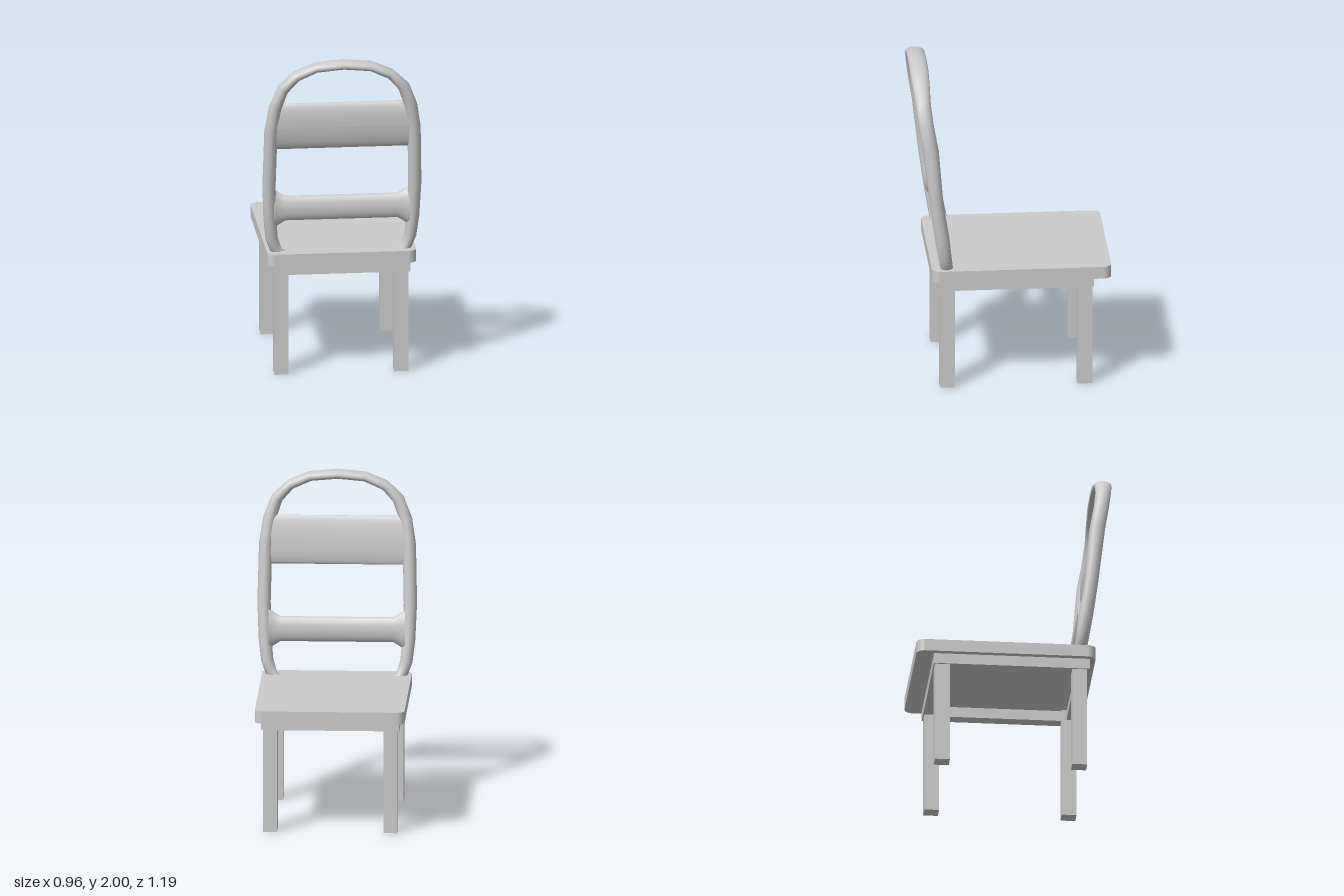
import * as THREE from 'three';

const material = new THREE.MeshStandardMaterial({ color: 0xcccccc });

function add(group, name, geometry, x = 0, y = 0, z = 0) {
  const mesh = new THREE.Mesh(geometry, material);
  mesh.name = name;
  mesh.position.set(x, y, z);
  group.add(mesh);
  return mesh;
}

// Horizontal slab seen from above, spanning z0..z1, extruded upwards
function slab(halfWidth, z0, z1, height, radius, border = 0) {
  const outline = (Type, w, a, b, r) => {
    const s = new Type();
    s.moveTo(-w + r, a);
    s.lineTo(w - r, a);
    if (r) s.absarc(w - r, a + r, r, -Math.PI / 2, 0);
    s.lineTo(w, b - r);
    if (r) s.absarc(w - r, b - r, r, 0, Math.PI / 2);
    s.lineTo(-w + r, b);
    if (r) s.absarc(-w + r, b - r, r, Math.PI / 2, Math.PI);
    s.lineTo(-w, a + r);
    if (r) s.absarc(-w + r, a + r, r, Math.PI, Math.PI * 1.5);
    return s;
  };
  const shape = outline(THREE.Shape, halfWidth, -z1, -z0, radius);
  if (border) {
    shape.holes.push(outline(THREE.Path, halfWidth - border, -z1 + border, -z0 - border, 0));
  }
  return new THREE.ExtrudeGeometry(shape, { depth: height, bevelEnabled: false, curveSegments: 6 })
    .rotateX(-Math.PI / 2);
}

// Closed hoop of oval sections: x, y, z, in-plane radius, depth radius
function hoopGeometry() {
  const half = [
    [0, 1.972, 0.537, 0.028, 0.057],
    [0.165, 1.957, 0.537, 0.028, 0.056],
    [0.285, 1.905, 0.535, 0.031, 0.052],
    [0.365, 1.823, 0.53, 0.036, 0.047],
    [0.41, 1.7, 0.514, 0.039, 0.046],
    [0.432, 1.55, 0.488, 0.04, 0.047],
    [0.44, 1.2, 0.453, 0.04, 0.041],
    [0.432, 0.98, 0.42, 0.039, 0.044],
    [0.418, 0.85, 0.402, 0.037, 0.04],
    [0.385, 0.755, 0.388, 0.037, 0.038],
    [0.3, 0.722, 0.378, 0.033, 0.038],
    [0, 0.712, 0.37, 0.033, 0.04],
  ];
  const mirrored = half.slice(1, -1).reverse().map(([x, ...rest]) => [-x, ...rest]);
  const path = [...half, ...mirrored];
  const n = path.length, sides = 12;
  const positions = [], index = [];
  path.forEach(([x, y, z, rn, rz], i) => {
    const p = path[(i + n - 1) % n], q = path[(i + 1) % n];
    const t = new THREE.Vector2(q[0] - p[0], q[1] - p[1]).normalize();
    for (let j = 0; j < sides; j++) {
      const a = (j / sides) * Math.PI * 2;
      const c = rn * Math.cos(a);
      positions.push(x - t.y * c, y + t.x * c, z + rz * Math.sin(a));
      const j1 = (j + 1) % sides, i1 = (i + 1) % n;
      const A = i * sides + j, B = i * sides + j1, C = i1 * sides + j1, D = i1 * sides + j;
      index.push(A, B, C, A, C, D);
    }
  });
  const g = new THREE.BufferGeometry();
  g.setAttribute('position', new THREE.Float32BufferAttribute(positions, 3));
  g.setIndex(index);
  g.computeVertexNormals();
  return g;
}

// Broad top slat, flatter on the sitter's side and leaning with the hoop
function slatGeometry() {
  const g = new THREE.CylinderGeometry(1, 1, 0.8, 28, 1, true)
    .rotateZ(Math.PI / 2).scale(1, 0.148, 0.04);
  const p = g.attributes.position;
  for (let i = 0; i < p.count; i++) if (p.getZ(i) < 0) p.setZ(i, p.getZ(i) * 0.6);
  g.computeVertexNormals();
  return g.rotateX(0.1);
}

export function createModel() {
  const chair = new THREE.Group();
  chair.name = 'chair';

  // Seat and the open frame beneath it
  add(chair, 'seat', slab(0.45, -0.6, 0.48, 0.075, 0.05), 0, 0.695, 0);
  add(chair, 'apron', slab(0.415, -0.495, 0.445, 0.065, 0, 0.075), 0, 0.63, 0);

  // Legs
  for (const side of [-1, 1]) {
    for (const [name, z] of [['frontLeg', -0.443], ['backLeg', 0.385]]) {
      add(chair, name, new THREE.BoxGeometry(0.085, 0.695, 0.09), side * 0.362, 0.3475, z);
    }
  }

  // Backrest
  const back = new THREE.Group();
  back.name = 'backrest';
  chair.add(back);
  add(back, 'backHoop', hoopGeometry());
  add(back, 'upperSlat', slatGeometry(), 0, 1.578, 0.485);

  // Lower rail with flared ends
  const profile = [[0.118, -0.41], [0.113, -0.395], [0.077, -0.34], [0.077, 0.34], [0.113, 0.395], [0.118, 0.41]]
    .map(([r, y]) => new THREE.Vector2(r, y));
  const rail = new THREE.LatheGeometry(profile, 24).rotateZ(Math.PI / 2).scale(1, 1, 0.46);
  add(back, 'lowerRail', rail, 0, 1.042, 0.415);

  return chair;
}
